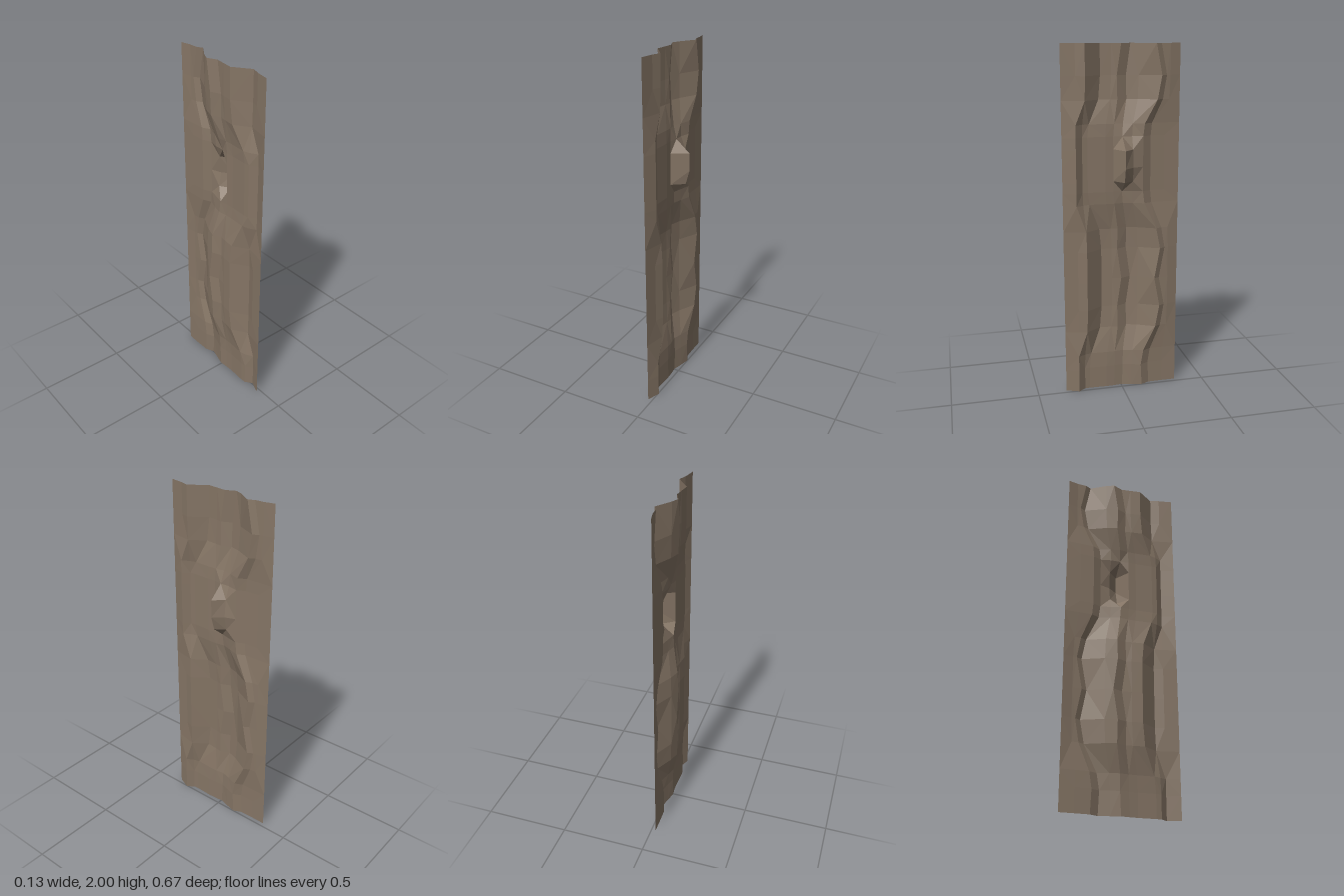
import * as THREE from 'three';

// Ridges and grooves running up the sheet, from the front edge to the back edge:
// [z, x] where the grooves close, then [z, x] where they open
const COLUMNS = [
  [0.333, -0.025, 0.333, -0.025],
  [0.26, 0.005, 0.255, -0.01],
  [0.22, -0.025, 0.205, 0.008],
  [0.19, -0.027, 0.11, -0.06],
  [0.09, -0.023, 0.05, -0.052],
  [0.045, -0.025, -0.005, -0.045],
  [-0.005, -0.03, -0.062, -0.07],
  [-0.06, -0.015, -0.105, -0.05],
  [-0.12, 0, -0.19, 0.008],
  [-0.168, -0.023, -0.222, -0.01],
  [-0.25, -0.025, -0.275, -0.012],
  [-0.333, -0.025, -0.333, -0.025],
];

// Levels up the sheet: [y, groove opening 0..1, sideways wobble, knot height, knot flank]
const LEVELS = [
  [0, 0, 0, 0, 0],
  [0.13, 0, -0.2, 0, 0],
  [0.22, 0.12, 0, 0, 0],
  [0.37, 0.85, 0.6, 0, 0],
  [0.5, 1, 1, 0, 0],
  [0.67, 1, 0, 0, 0],
  [0.85, 1, 1, 0, 0],
  [0.97, 0.85, 0.6, 0, 0],
  [1.12, 0.12, 0, 0, 0],
  [1.19, 0, 0, 0, 0],
  [1.25, 0, 0, 0.072, 0.02],
  [1.33, 0, 0, 0.095, 0.035],
  [1.43, 0, 0, 0.095, 0.025],
  [1.5, 0, 0, 0.015, 0],
  [1.57, 0.12, 0, 0, 0],
  [1.7, 0.85, 0.6, 0, 0],
  [1.83, 1, 1, 0, 0],
  [2, 1, 0, 0, 0],
];

function barkGeometry() {
  const positions = [], index = [];
  const n = COLUMNS.length;
  LEVELS.forEach(([y, open, wobble, knot, flank], row) => {
    COLUMNS.forEach(([z0, x0, z1, x1], col) => {
      let z = THREE.MathUtils.lerp(z0, z1, open);
      let x = THREE.MathUtils.lerp(x0, x1, open);
      // grooves snake slightly along their length
      if (col === 5 || col === 6) z += 0.025 * wobble;
      if (col === 8 || col === 9) z -= 0.032 * wobble;
      // knot swelling out of the middle
      if (col === 6) x += knot;
      if (col === 7) x += flank;
      positions.push(x, y, z);
      if (row && col) {
        const d = row * n + col, c = d - 1, b = d - n, a = b - 1;
        // alternate the diagonals for a chipped look
        if ((row + col) % 2) index.push(a, b, d, a, d, c);
        else index.push(a, b, c, b, d, c);
      }
    });
  });
  const geometry = new THREE.BufferGeometry();
  geometry.setAttribute('position', new THREE.Float32BufferAttribute(positions, 3));
  geometry.setIndex(index);
  geometry.computeVertexNormals();
  return geometry;
}

export function createModel() {
  const group = new THREE.Group();
  group.name = 'barkPanel';
  const material = new THREE.MeshStandardMaterial({
    color: 0x857565, flatShading: true, side: THREE.DoubleSide,
  });
  const bark = new THREE.Mesh(barkGeometry(), material);
  bark.name = 'barkSheet';
  group.add(bark);
  return group;
}
